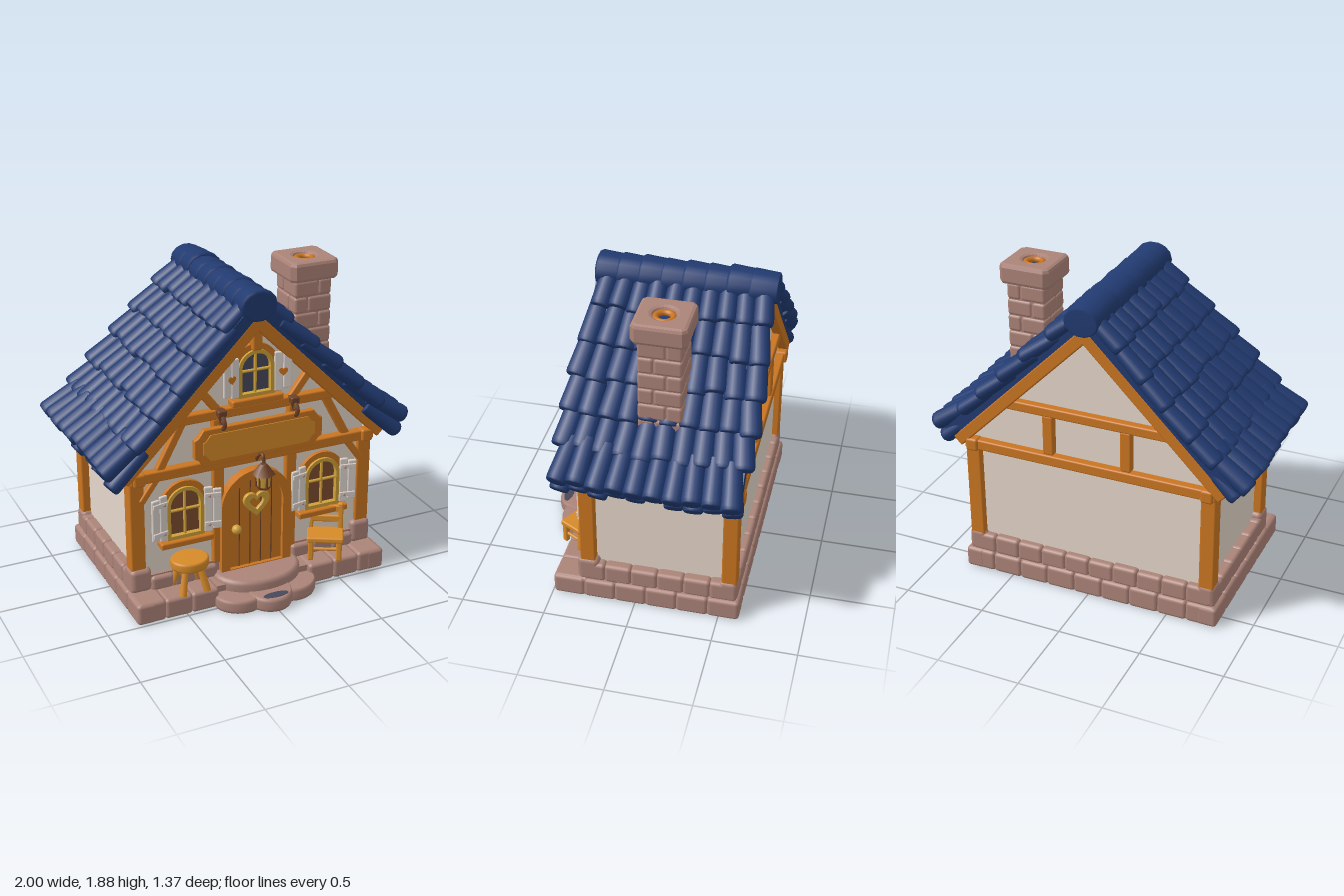
import * as THREE from 'three';
import { RoundedBoxGeometry } from 'three/addons/geometries/RoundedBoxGeometry.js';

export function createModel() {
  const mat = (name, color) => Object.assign(new THREE.MeshStandardMaterial({ color }), { name });
  const roofBlue = mat('roofBlue', 0x213a70), wood = mat('wood', 0xca7521), paleWood = mat('paleWood', 0xd68a29);
  const stone = mat('stone', 0xab8378), plaster = mat('plaster', 0xe5d6ca), iron = mat('darkBrown', 0x6f4228);
  const gold = mat('gold', 0xcfa039), glass = mat('windowGlass', 0x7d4c2e), shutterWhite = mat('shutterWhite', 0xdad0ca);
  const dusk = mat('duskGlass', 0x47485a);

  const house = new THREE.Group();
  house.name = 'cottage';
  let seed = 7;
  const jitter = (a) => { seed = (seed * 16807) % 2147483647; return (seed / 2147483647 - 0.5) * 2 * a; };
  const add = (parent, geo, material, name, x = 0, y = 0, z = 0) => {
    const m = new THREE.Mesh(geo, material);
    m.name = name;
    m.position.set(x, y, z);
    parent.add(m);
    return m;
  };
  const group = (name, x = 0, y = 0, z = 0, parent = house) => {
    const g = new THREE.Group();
    g.name = name;
    g.position.set(x, y, z);
    parent.add(g);
    return g;
  };
  const round = (w, h, d, r = 0.01) => new RoundedBoxGeometry(w, h, d, 2, Math.min(r, w / 2.1, h / 2.1, d / 2.1));
  const extrude = (shape, depth, bevel = 0) => new THREE.ExtrudeGeometry(shape, {
    depth, curveSegments: 12, bevelEnabled: bevel > 0, bevelSize: bevel, bevelThickness: bevel, bevelSegments: 2 });
  const poly = (pts) => new THREE.Shape(pts.map(p => new THREE.Vector2(...p)));
  const arch = (w, h, y0 = 0) => {
    const s = new THREE.Shape();
    s.moveTo(-w, y0); s.lineTo(w, y0); s.lineTo(w, h - w);
    s.absarc(0, h - w, w, 0, Math.PI);
    s.closePath();
    return s;
  };
  const heart = (r) => {
    const s = new THREE.Shape();
    s.moveTo(0, -r);
    s.bezierCurveTo(r * 0.5, -r * 0.6, r * 1.15, 0, r, r * 0.45);
    s.bezierCurveTo(r * 0.85, r * 0.95, r * 0.15, r * 0.95, 0, r * 0.45);
    s.bezierCurveTo(-r * 0.15, r * 0.95, -r * 0.85, r * 0.95, -r, r * 0.45);
    s.bezierCurveTo(-r * 1.15, 0, -r * 0.5, -r * 0.6, 0, -r);
    return s;
  };
  const holed = (shape, hole) => { shape.holes.push(hole); return shape; };
  const strut = (x1, y1, x2, y2, z, w, name) => {
    const m = add(house, round(Math.hypot(x2 - x1, y2 - y1), w, 0.05), wood, name, (x1 + x2) / 2, (y1 + y2) / 2, z);
    m.rotation.z = Math.atan2(y2 - y1, x2 - x1);
  };

  // Plastered body with gables
  const body = extrude(poly([[-0.73, 0.1], [0.73, 0.1], [0.73, 0.99], [0, 1.72], [-0.73, 0.99]]), 0.87);
  add(house, body, plaster, 'walls', 0, 0, -0.56);

  // Stone foundation: two courses of blocks round a core
  const course = (alongZ, from, to, n, fixed, y, h, depth) => {
    const step = (to - from) / n;
    for (let i = 0; i < n; i++) {
      const c = from + step * (i + 0.5), l = step + 0.004, hh = h + jitter(0.004);
      add(house, alongZ ? round(depth, hh, l, 0.022) : round(l, hh, depth, 0.022), stone, 'foundationStone',
        alongZ ? fixed : c, y + hh / 2, alongZ ? c : fixed);
    }
  };
  add(house, new THREE.BoxGeometry(1.58, 0.12, 1.05), stone, 'foundationCore', 0, 0.06, -0.07);
  add(house, new THREE.BoxGeometry(1.55, 0.1, 0.92), stone, 'plinthCore', 0, 0.17, -0.13);
  for (const s of [-1, 1]) {
    course(true, -0.62, 0.49, 6, s * 0.75, 0, 0.13, 0.12);
    course(true, -0.6, 0.34, 6, s * 0.745, 0.12, 0.12, 0.09);
    const [near, far] = s > 0 ? [0.3, 0.8] : [-0.8, -0.3];
    course(false, near, far, 3, 0.385, 0, 0.13, 0.21);
    course(false, near * 0.83, far * 0.83, 3, 0.315, 0.12, 0.09, 0.08);
    add(house, round(0.13, 0.15, 0.13, 0.03), stone, 'cornerStone', s * 0.725, 0.2, 0.285);
    add(house, round(0.11, 0.14, 0.11, 0.03), stone, 'cornerStone', s * 0.735, 0.19, -0.55);
  }
  course(false, -0.8, 0.8, 9, -0.56, 0, 0.13, 0.12);
  course(false, -0.77, 0.77, 10, -0.56, 0.12, 0.12, 0.09);

  // Fan of entrance steps
  const disk = new THREE.LatheGeometry([[0, 0], [0.95, 0], [1, 0.2], [1, 0.75], [0.97, 0.92], [0.9, 1], [0, 1]]
    .map(p => new THREE.Vector2(...p)), 32);
  const stepStone = (x, y, z, rx, h, rz, turn = 0) => {
    const m = add(house, disk, stone, 'stepStone', x, y, z);
    m.scale.set(rx, h, rz);
    m.rotation.y = turn;
  };
  stepStone(0, 0, 0.53, 0.14, 0.085, 0.155);
  for (const s of [-1, 1]) stepStone(s * 0.185, 0, 0.5, 0.145, 0.08, 0.12, s * 0.45);
  stepStone(0, 0.04, 0.36, 0.275, 0.11, 0.2);
  add(house, disk, dusk, 'stepInlay', 0, 0.082, 0.63).scale.set(0.08, 0.006, 0.028);

  // Timber frame, front and back
  for (const z of [0.285, -0.555]) {
    const out = z > 0 ? 0.33 : -0.58;
    for (const s of [-1, 1]) {
      add(house, round(0.09, 0.66, 0.09), wood, 'cornerPost', s * 0.735, 0.53, z);
      add(house, round(0.075, 0.08, 0.07, 0.015), wood, 'beamEnd', s * 0.73, 0.86, out + Math.sign(z) * 0.01);
      add(house, round(0.065, 0.25, 0.05), wood, 'shortPost', s * 0.24, 1.02, out);
    }
    add(house, round(1.56, 0.065, 0.06), wood, 'crossBeam', 0, 0.86, out);
    add(house, round(1.06, 0.06, 0.055), wood, 'collarBeam', 0, 1.17, out);
  }
  add(house, round(0.06, 0.2, 0.07), wood, 'kingPost', 0, 1.62, 0.33);
  for (const s of [-1, 1]) {
    add(house, round(0.07, 0.64, 0.05), wood, 'doorPost', s * 0.235, 0.53, 0.32);
    strut(s * 0.23, 1.18, s * 0.36, 1.35, 0.32, 0.05, 'gableBrace');
    strut(s * 0.6, 0.88, s * 0.45, 1.16, 0.32, 0.05, 'lowerGableBrace');
    strut(s * 0.71, 0.7, s * 0.6, 0.85, 0.315, 0.04, 'cornerBrace');
  }

  // Roof slopes: local x runs down the slope, local y is the outward normal
  const tile = new THREE.LatheGeometry([[0, 0], [0.82, 0], [0.95, 0.03], [1, 0.1], [0.88, 0.97], [0.8, 1], [0, 1]]
    .map(p => new THREE.Vector2(...p)), 14).rotateZ(Math.PI / 2);
  const zFront = [0.38, 0.42, 0.45, 0.46, 0.465, 0.45], zBack = [-0.65, -0.665, -0.675, -0.68, -0.67, -0.64];
  const columns = 10;
  for (const s of [1, -1]) {
    const slope = group(s > 0 ? 'leftRoofSlope' : 'rightRoofSlope', 0, 1.74, 0);
    slope.rotation.set(0, s > 0 ? 0 : Math.PI, -Math.PI / 4, 'YXZ');
    add(slope, new THREE.BoxGeometry(1.21, 0.07, 1.0), roofBlue, 'roofDeck', 0.605, 0.035, s * -0.12);
    for (const z of [0.345, -0.59]) add(slope, round(1.2, 0.075, 0.06), wood, 'rafter', 0.6, -0.035, s * z);
    const layTile = (down, n, z, w, thick, tilt) => {
      const m = add(slope, tile, roofBlue, 'roofTile', down + jitter(0.015), n + jitter(0.005), s * z);
      m.scale.set(0.28, thick, w);
      m.rotation.set(0, -s * (z + 0.11) * 0.25 + jitter(0.03), tilt + jitter(0.03));
    };
    for (let r = 0; r < 6; r++) {
      const w = (zFront[r] - zBack[r]) / columns;
      for (let c = 0; c < columns; c++) {
        const z = zBack[r] + w * (c + 0.5), last = r === 5;
        layTile(0.22 + r * 0.203, last ? 0.125 : 0.09, z, w * 0.57, last ? 0.055 : 0.048, last ? 0.2 : 0.14);
        if (last) layTile(1.255, 0.03, z, w * 0.55, 0.05, 0.08);
      }
    }
  }
  // Ridge caps
  for (let i = 0; i < 8; i++) {
    const m = add(house, tile, roofBlue, 'ridgeCap', 0, 1.785 + jitter(0.006), 0.385 - i * 0.125);
    m.scale.set(0.16, 0.095, 0.115);
    m.rotation.y = -Math.PI / 2;
  }

  // Chimney: staggered bricks, pierced cap, flue
  const chimney = group('chimney', 0.538, 0, -0.12);
  add(chimney, new THREE.BoxGeometry(0.225, 0.6, 0.235), stone, 'chimneyCore', 0, 1.45, 0);
  for (let r = 0; r < 6; r++) {
    const split = r % 2 ? 0.035 : -0.035, y = 1.2 + r * 0.1;
    for (const sx of [-1, 1]) for (const sz of [-1, 1]) {
      const w = 0.122 - sx * split, d = 0.126 + sz * split;
      add(chimney, round(w, 0.1, d, 0.018), stone, 'chimneyBrick', split + sx * w / 2, y, -split + sz * d / 2);
    }
  }
  const capHole = new THREE.Path();
  capHole.absarc(0, 0, 0.085, 0, Math.PI * 2);
  const b = 0.135, k = 0.12;
  const cap = holed(poly([[-k, -b], [k, -b], [b, -k], [b, k], [k, b], [-k, b], [-b, k], [-b, -k]]), capHole);
  add(chimney, extrude(cap, 0.08, 0.022).rotateX(-Math.PI / 2), stone, 'chimneyCap', 0, 1.77, 0);
  add(chimney, new THREE.TorusGeometry(0.05, 0.018, 8, 24).rotateX(Math.PI / 2), wood, 'flueRing', 0, 1.845, 0);
  add(chimney, new THREE.CylinderGeometry(0.064, 0.064, 0.02, 20), roofBlue, 'flueBottom', 0, 1.82, 0);

  // Arched windows with shutters
  const makeWindow = (name, x, y, w, h, shH, pane, hearts) => {
    const g = group(name, x, y, 0.31);
    add(g, extrude(holed(arch(w + 0.035, h + 0.035), arch(w, h, 0.005)), 0.025), wood, 'windowTrim');
    add(g, extrude(holed(arch(w, h), arch(w - 0.022, h - 0.022, 0.022)), 0.04), gold, 'windowFrame');
    add(g, new THREE.ShapeGeometry(arch(w - 0.015, h - 0.015)), pane, 'pane', 0, 0, 0.008);
    add(g, round(0.016, h - 0.02, 0.02), gold, 'mullion', 0, h / 2, 0.02);
    add(g, round(w * 2 - 0.02, 0.016, 0.02), gold, 'glazingBar', 0, h * 0.55, 0.02);
    add(g, round(w * 2 + 0.1, 0.04, 0.075), wood, 'sill', 0, -0.02, 0.03);
    for (const s of [-1, 1]) {
      const sh = group('shutter', s * w, shH / 2 + 0.01, 0.035, g);
      sh.rotation.y = -s * 0.2;
      for (const i of [0, 1]) add(sh, round(0.052, shH - i * 0.03, 0.02, 0.008), shutterWhite, 'shutterPlank', s * (0.026 + i * 0.053), 0, 0);
      if (hearts) add(sh, extrude(heart(0.026), 0.004), wood, 'shutterHeart', s * 0.052, 0, 0.01);
      else for (const t of [-1, 1]) {
        add(sh, round(0.098, 0.03, 0.012, 0.004), shutterWhite, 'shutterBatten', s * 0.052, t * shH * 0.32, 0.012);
        add(sh, new THREE.SphereGeometry(0.009, 8, 6), stone, 'rivet', s * 0.03, t * shH * 0.32, 0.019);
      }
    }
  };
  for (const s of [-1, 1]) makeWindow('lowerWindow', s * 0.445, 0.43, 0.115, 0.325, 0.29, glass, false);
  makeWindow('gableWindow', 0, 1.24, 0.112, 0.28, 0.24, dusk, true);

  // Front door
  const door = group('door', 0, 0.15, 0.31);
  add(door, extrude(holed(arch(0.228, 0.635), arch(0.172, 0.58, 0.005)), 0.06), wood, 'doorFrame');
  add(door, extrude(arch(0.175, 0.583), 0.035), wood, 'doorPanel');
  for (const x of [-0.105, -0.035, 0.035, 0.105]) {
    const h = 0.4 + Math.sqrt(0.172 ** 2 - x * x);
    add(door, new THREE.BoxGeometry(0.006, h, 0.004), iron, 'plankGroove', x, h / 2, 0.036);
  }
  add(door, extrude(holed(heart(0.078), heart(0.047)), 0.014, 0.005), gold, 'doorHeart', 0, 0.415, 0.04);
  add(door, new THREE.SphereGeometry(0.03, 14, 10), gold, 'doorKnob', -0.13, 0.265, 0.055);

  // Hanging sign
  const signShape = (w, h, c) => poly([[-w, -h + c], [-w + c * 0.4, -h + c * 0.8], [-w + c, -h], [w - c, -h], [w - c * 0.4, -h + c * 0.8],
    [w, -h + c], [w, h - c], [w - c * 0.4, h - c * 0.8], [w - c, h], [-w + c, h], [-w + c * 0.4, h - c * 0.8], [-w, h - c]]);
  const sign = group('sign', 0, 0.995, 0.365);
  add(sign, extrude(signShape(0.4, 0.108, 0.055), 0.025, 0.006), wood, 'signBoard');
  add(sign, extrude(signShape(0.355, 0.08, 0.045), 0.008), paleWood, 'signPanel', 0, 0, 0.029);
  for (const s of [-1, 1]) {
    add(sign, round(0.055, 0.04, 0.06), iron, 'signBracket', s * 0.23, 0.19, 0);
    add(sign, new THREE.TorusGeometry(0.036, 0.013, 6, 16).rotateY(Math.PI / 2), iron, 'signRing', s * 0.23, 0.135, 0.015);
  }

  // Lantern over the door
  const lantern = group('lantern', 0, 0, 0.45);
  const hook = new THREE.CatmullRomCurve3([[0, 0.84, -0.1], [0, 0.89, -0.06], [0, 0.905, -0.01], [0, 0.86, 0]].map(p => new THREE.Vector3(...p)));
  add(lantern, new THREE.TubeGeometry(hook, 14, 0.011, 8), iron, 'lanternHook');
  add(lantern, new THREE.CylinderGeometry(0.02, 0.07, 0.065, 6), iron, 'lanternRoof', 0, 0.825, 0);
  add(lantern, new THREE.CylinderGeometry(0.05, 0.036, 0.09, 6), gold, 'lanternGlass', 0, 0.755, 0);
  add(lantern, new THREE.CylinderGeometry(0.042, 0.035, 0.016, 6), iron, 'lanternBase', 0, 0.707, 0);
  for (let i = 0; i < 6; i++) {
    const a = i * Math.PI / 3;
    add(lantern, new THREE.CylinderGeometry(0.006, 0.006, 0.09, 6), iron, 'lanternBar', Math.sin(a) * 0.042, 0.755, Math.cos(a) * 0.042);
  }

  // Stool
  const stool = group('stool', -0.45, 0.13, 0.405);
  add(stool, disk, paleWood, 'stoolSeat', 0, 0.145, 0).scale.set(0.115, 0.058, 0.1);
  for (let i = 0; i < 4; i++) {
    const leg = group('stoolLeg', 0, 0, 0, stool);
    leg.rotation.y = Math.PI / 4 + i * Math.PI / 2;
    add(leg, new THREE.CylinderGeometry(0.02, 0.023, 0.17, 8), paleWood, 'leg', 0, 0.08, 0.085).rotation.x = -0.28;
  }

  // Chair
  const chair = group('chair', 0.44, 0.13, 0.41);
  chair.rotation.y = -0.5;
  add(chair, round(0.22, 0.034, 0.16), paleWood, 'chairSeat', 0, 0.14, 0);
  for (const s of [-1, 1]) {
    add(chair, round(0.034, 0.14, 0.034), paleWood, 'frontLeg', s * 0.085, 0.07, 0.06);
    add(chair, round(0.034, 0.32, 0.032), paleWood, 'backPost', s * 0.09, 0.155, -0.075).rotation.x = -0.1;
    add(chair, round(0.02, 0.02, 0.13), paleWood, 'sideRung', s * 0.085, 0.06, -0.005);
  }
  for (const y of [0.215, 0.28]) add(chair, round(0.2, 0.045, 0.022), paleWood, 'backSlat', 0, y, -0.07 - (y - 0.155) * 0.1);
  add(chair, round(0.16, 0.02, 0.02), paleWood, 'frontRung', 0, 0.075, 0.06);

  return house;
}
